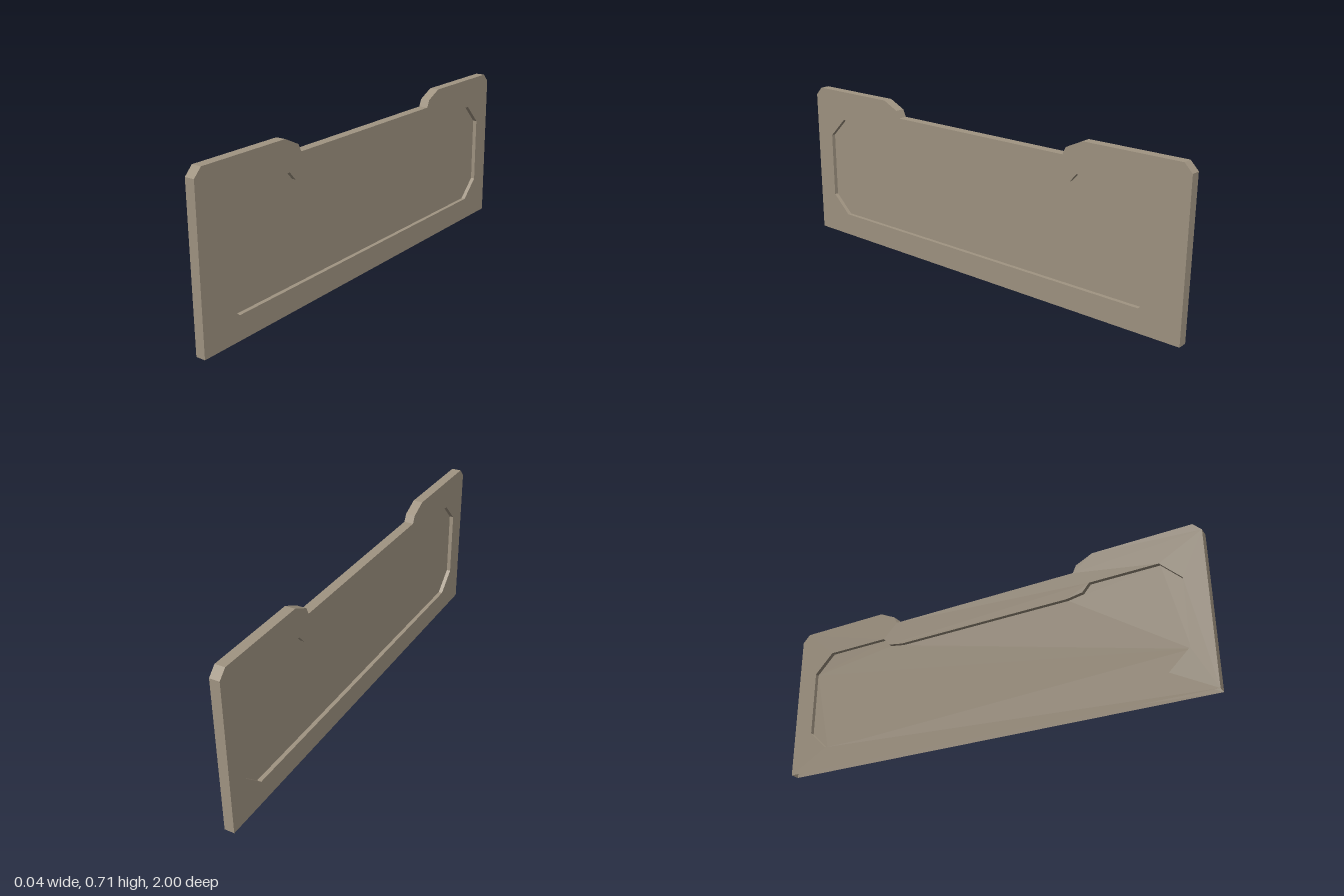
import * as THREE from 'three';

const THICK = 0.043, FLOOR = 0.007;

// Half profiles as [z, y], mirrored across z = 0
const OUTLINE = [[1, 0], [1, 0.672], [0.965, 0.708], [0.535, 0.708], [0.46, 0.672], [0.445, 0.64]];
const RECESS = [[0.815, 0.103], [0.905, 0.187], [0.905, 0.485], [0.815, 0.574],
  [0.515, 0.574], [0.483, 0.538], [0.412, 0.526]];

function mirrored(half) {
  const other = half.map(([z, y]) => [-z, y]).reverse();
  return [...half, ...other].map(([z, y]) => new THREE.Vector2(z, y));
}

// Extrude a side profile across x, centred on x = 0
function slab(shape, depth) {
  const geometry = new THREE.ExtrudeGeometry(shape, { depth, bevelEnabled: false });
  return geometry.translate(0, 0, -depth / 2).rotateY(Math.PI / 2);
}

// Drop the triangles lying on the ground, leaving the underside open
function openBottom(geometry) {
  const p = geometry.attributes.position;
  const kept = [];
  for (let i = 0; i < p.count; i += 3) {
    if (Math.max(p.getY(i), p.getY(i + 1), p.getY(i + 2)) < 1e-4) continue;
    for (let k = i; k < i + 3; k++) kept.push(p.getX(k), p.getY(k), p.getZ(k));
  }
  const open = new THREE.BufferGeometry();
  open.setAttribute('position', new THREE.Float32BufferAttribute(kept, 3));
  open.computeVertexNormals();
  return open;
}

export function createModel() {
  const group = new THREE.Group();
  group.name = 'barrierPanel';
  const material = new THREE.MeshStandardMaterial({ color: 0xa09482, side: THREE.DoubleSide });

  // Frame with notched top edge and clipped corners, hollow underneath
  const frameShape = new THREE.Shape(mirrored(OUTLINE));
  frameShape.holes.push(new THREE.Path(mirrored(RECESS)));
  const frame = new THREE.Mesh(openBottom(slab(frameShape, THICK)), material);
  frame.name = 'frame';

  // Thin floor shared by the recesses on both faces
  const floor = new THREE.Mesh(slab(new THREE.Shape(mirrored(RECESS)), FLOOR), material);
  floor.name = 'recessedPanel';

  group.add(frame, floor);
  return group;
}
